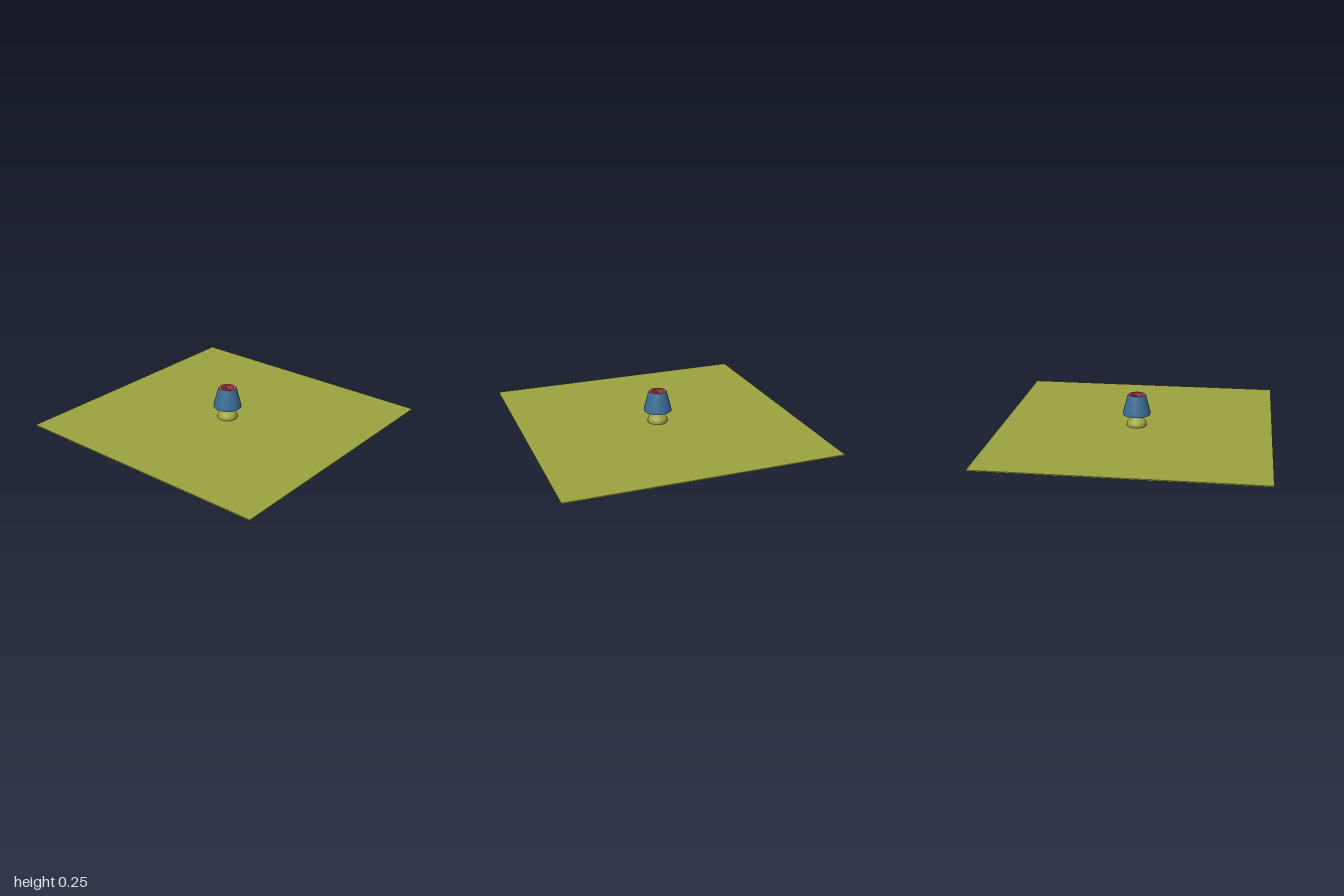
import * as THREE from 'three';

const olive = new THREE.MeshStandardMaterial({ name: 'olive', color: 0x9da340 });
const blue = new THREE.MeshStandardMaterial({ name: 'blue', color: 0x3a6c95 });
const red = new THREE.MeshStandardMaterial({ name: 'red', color: 0xbc4f5a });

const SIDES = 32;

function add(group, name, geometry, material, x = 0, y = 0, z = 0) {
  const mesh = new THREE.Mesh(geometry, material);
  mesh.name = name;
  mesh.position.set(x, y, z);
  group.add(mesh);
  return mesh;
}

// Profile points are [radius, height], listed upwards for outward faces
const turned = (points) =>
  new THREE.LatheGeometry(points.map(([r, y]) => new THREE.Vector2(r, y)), SIDES);

export function createModel() {
  const model = new THREE.Group();
  model.name = 'tableLamp';

  // Wide thin surface under the lamp
  add(model, 'groundSheet', new THREE.BoxGeometry(2, 0.008, 2), olive, 0, 0.006, 0);

  // Rounded foot that sweeps into the neck
  add(model, 'base', turned([
    [0, 0], [0.07, 0], [0.074, 0.015], [0.074, 0.028], [0.069, 0.043],
    [0.058, 0.055], [0.045, 0.063], [0.035, 0.072], [0.031, 0.084],
    [0.031, 0.1], [0.025, 0.115], [0, 0.115],
  ]), olive);

  // Shade: blue outside, red lining and rims
  const shade = new THREE.Group();
  shade.name = 'shade';
  model.add(shade);
  add(shade, 'shadeOuter', turned([
    [0.103, 0.1], [0.103, 0.106], [0.097, 0.135], [0.08, 0.2], [0.069, 0.242], [0.064, 0.25],
  ]), blue);
  add(shade, 'shadeTopRim', turned([[0.064, 0.25], [0.046, 0.249]]), red);
  add(shade, 'shadeLining', turned([[0.046, 0.249], [0.06, 0.2], [0.095, 0.1]]), red);
  add(shade, 'shadeBottomRim', turned([[0.095, 0.1], [0.103, 0.1]]), blue);

  // Socket and bulb inside the shade
  add(model, 'socket', new THREE.CylinderGeometry(0.016, 0.02, 0.05, 20), olive, 0, 0.135, 0);
  add(model, 'bulb', turned([
    [0.012, 0.155], [0.018, 0.168], [0.027, 0.188], [0.027, 0.203],
    [0.02, 0.216], [0.01, 0.223], [0, 0.225],
  ]), red);

  // Spokes that carry the shade
  for (let i = 0; i < 3; i++) {
    const angle = (i * Math.PI * 2) / 3 + 0.5;
    const spoke = add(model, 'shadeSpoke', new THREE.CylinderGeometry(0.003, 0.003, 0.05, 8), red,
      Math.cos(angle) * 0.025, 0.232, -Math.sin(angle) * 0.025);
    spoke.rotation.set(0, angle, Math.PI / 2);
  }

  return model;
}
